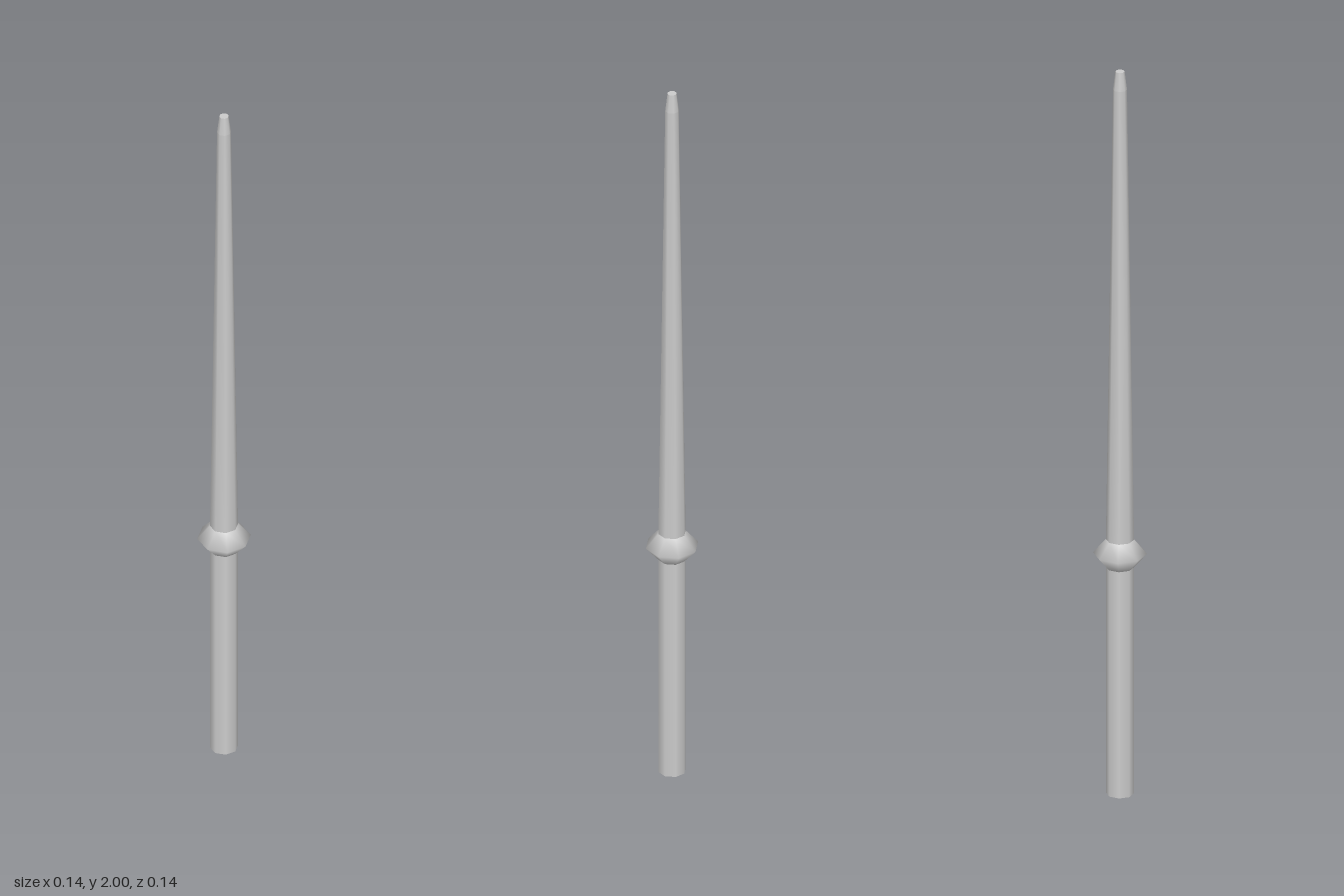
import * as THREE from 'three';

const SIDES = 8;

// Eight-sided turned part from [radius, height] pairs, listed bottom to top
function turned(name, profile, material) {
  const points = profile.map(([r, y]) => new THREE.Vector2(r, y));
  const mesh = new THREE.Mesh(new THREE.LatheGeometry(points, SIDES), material);
  mesh.name = name;
  return mesh;
}

// Flat end disc, facing up (1) or down (-1)
function cap(name, radius, y, facing, material) {
  const geometry = new THREE.CircleGeometry(radius, SIDES);
  geometry.rotateX(-facing * Math.PI / 2);
  const mesh = new THREE.Mesh(geometry, material);
  mesh.name = name;
  mesh.position.y = y;
  return mesh;
}

export function createModel() {
  const material = new THREE.MeshStandardMaterial({ color: 0xcccccc });
  const group = new THREE.Group();
  group.name = 'wand';

  group.add(
    // Straight grip
    turned('handle', [[0.036, 0], [0.036, 0.627]], material),
    cap('handleEnd', 0.036, 0, -1, material),
    // Pointed ring between grip and shaft
    turned('collar', [[0.036, 0.627], [0.069, 0.665], [0.036, 0.703]], material),
    // Long tapering shaft
    turned('shaft', [[0.036, 0.703], [0.018, 1.95]], material),
    // Blunt tip
    turned('tip', [[0.018, 1.95], [0.012, 2]], material),
    cap('tipEnd', 0.012, 2, 1, material),
  );
  return group;
}
